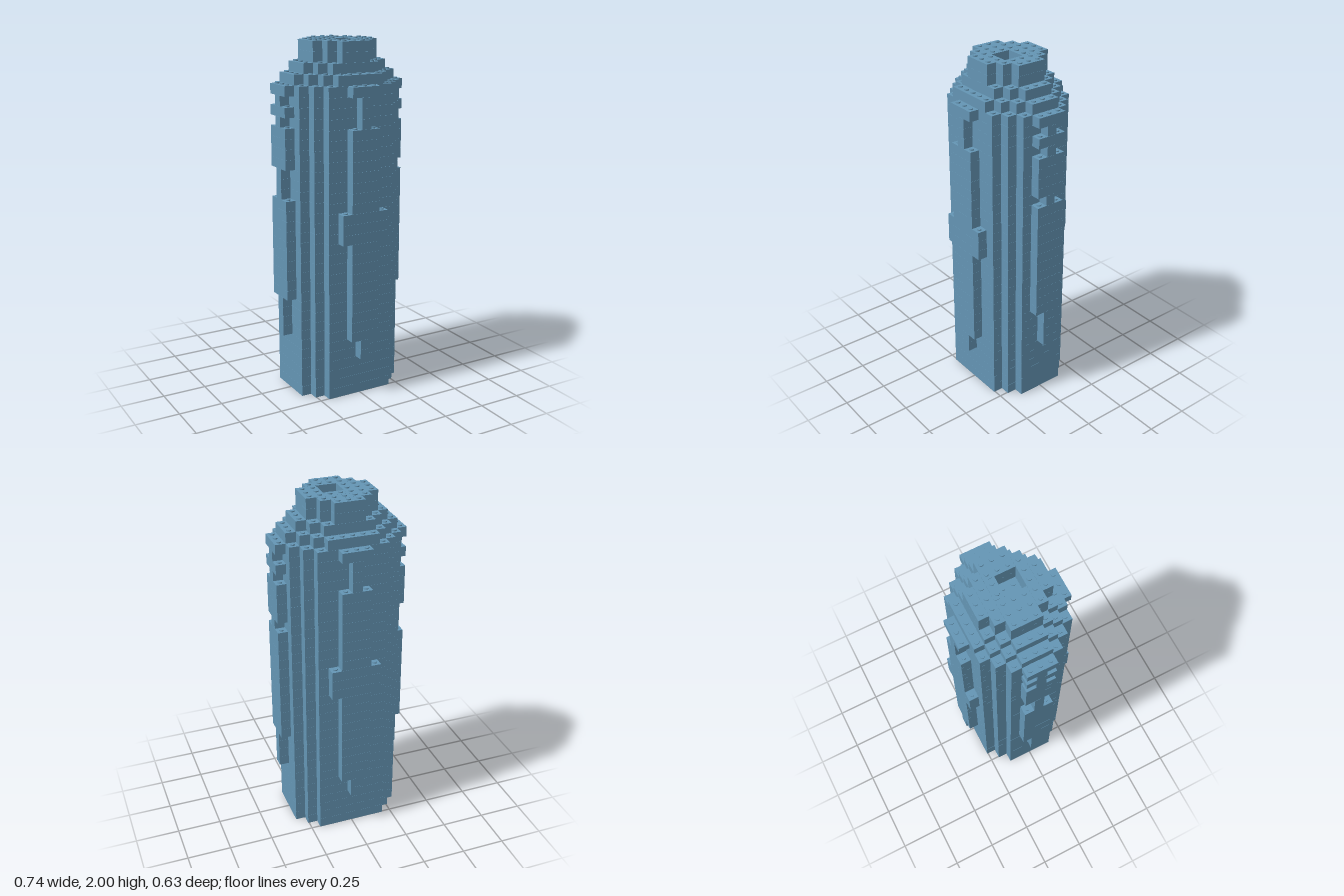
import * as THREE from 'three';
import { mergeGeometries } from 'three/addons/utils/BufferGeometryUtils.js';

const P = 0.05695;      // one cell: stud pitch and layer height
const GAP = 0.0006;     // seam between bricks
const STUD_R = 0.0128;
const STUD_H = 0.0067;

export function createModel() {
  const group = new THREE.Group();
  const blue = new THREE.MeshStandardMaterial({ color: 0x6495b4 });
  blue.name = 'steel blue';

  const filled = new Map();   // cell -> part name, used to place studs
  const parts = {};
  const key = (i, y, k) => `${i},${y},${k}`;

  // One brick covering cells i0..i1 by k0..k1 in one layer
  const brick = (part, i0, i1, k0, k1, y) => {
    const w = (i1 - i0 + 1) * P - GAP;
    const d = (k1 - k0 + 1) * P - GAP;
    const g = new THREE.BoxGeometry(w, P - GAP, d);
    g.translate((i0 + i1) / 2 * P, (y + 0.5) * P, (k0 + k1) / 2 * P);
    (parts[part] ??= []).push(g);
    for (let i = i0; i <= i1; i++) {
      for (let k = k0; k <= k1; k++) filled.set(key(i, y, k), part);
    }
  };

  // A stepped oval layer: a wide middle block, then narrowing rows front and back.
  const oval = (part, y, mid, rows) => {
    brick(part, -rows[0], rows[0], -mid, mid, y);
    rows.slice(1).forEach((half, n) => {
      for (const s of [-1, 1]) {
        const k = s * (mid + 1 + n);
        brick(part, -half, half, k, k, y);
      }
    });
  };

  // Main tower and shrinking dome
  for (let y = 0; y < 31; y++) oval('towerBody', y, 2, [5, 4, 3]);
  oval('domeLowerStep', 31, 1, [5, 4, 3, 2]);
  oval('domeUpperStep', 32, 1, [4, 3, 2]);

  // Crown with a small square well
  for (const y of [33, 34]) {
    brick('crown', -3, -1, -1, 1, y);
    brick('crown', 2, 3, -1, 1, y);
    brick('crown', 0, 1, -1, -1, y);
    for (const s of [-1, 1]) {
      if (s < 0) brick('crown', -2, 2, -2, -2, y);
      else brick('crown', -2, 2, 2, 2, y);
      brick('crown', -1, 1, 3 * s, 3 * s, y);
    }
  }

  // Relief on the front and back: [first layer, end layer, half width]
  const faceRelief = [[4, 6, 0], [6, 16, 1], [16, 19, 2], [19, 27, 1], [27, 30, 0], [30, 31, 1]];
  for (const s of [-1, 1]) {
    const name = s > 0 ? 'frontRelief' : 'backRelief';
    for (const [a, b, half] of faceRelief) {
      for (let y = a; y < b; y++) brick(name, -half, half, 5 * s, 5 * s, y);
    }
  }

  // Relief on the two sides; the long panel is shorter on the right
  for (const s of [-1, 1]) {
    const name = s > 0 ? 'leftRelief' : 'rightRelief';
    const top = s > 0 ? 22 : 20;
    const sideRelief = [[6, 10, 0], [10, top, 1], [top, 23, 0], [23, 27, 1],
      [27, 28, 0], [28, 29, 1], [29, 30, 0], [30, 31, 1]];
    for (const [a, b, half] of sideRelief) {
      for (let y = a; y < b; y++) brick(name, 6 * s, 6 * s, -half, half, y);
    }
  }

  // Studs on every uncovered cell
  const studs = [];
  for (const id of filled.keys()) {
    const [i, y, k] = id.split(',').map(Number);
    if (filled.has(key(i, y + 1, k))) continue;
    const g = new THREE.CylinderGeometry(STUD_R, STUD_R, STUD_H, 16);
    g.translate(i * P, (y + 1) * P + STUD_H / 2 - GAP / 2, k * P);
    studs.push(g);
  }
  parts.studs = studs;

  for (const [name, list] of Object.entries(parts)) {
    const mesh = new THREE.Mesh(mergeGeometries(list), blue);
    mesh.name = name;
    group.add(mesh);
  }
  return group;
}
